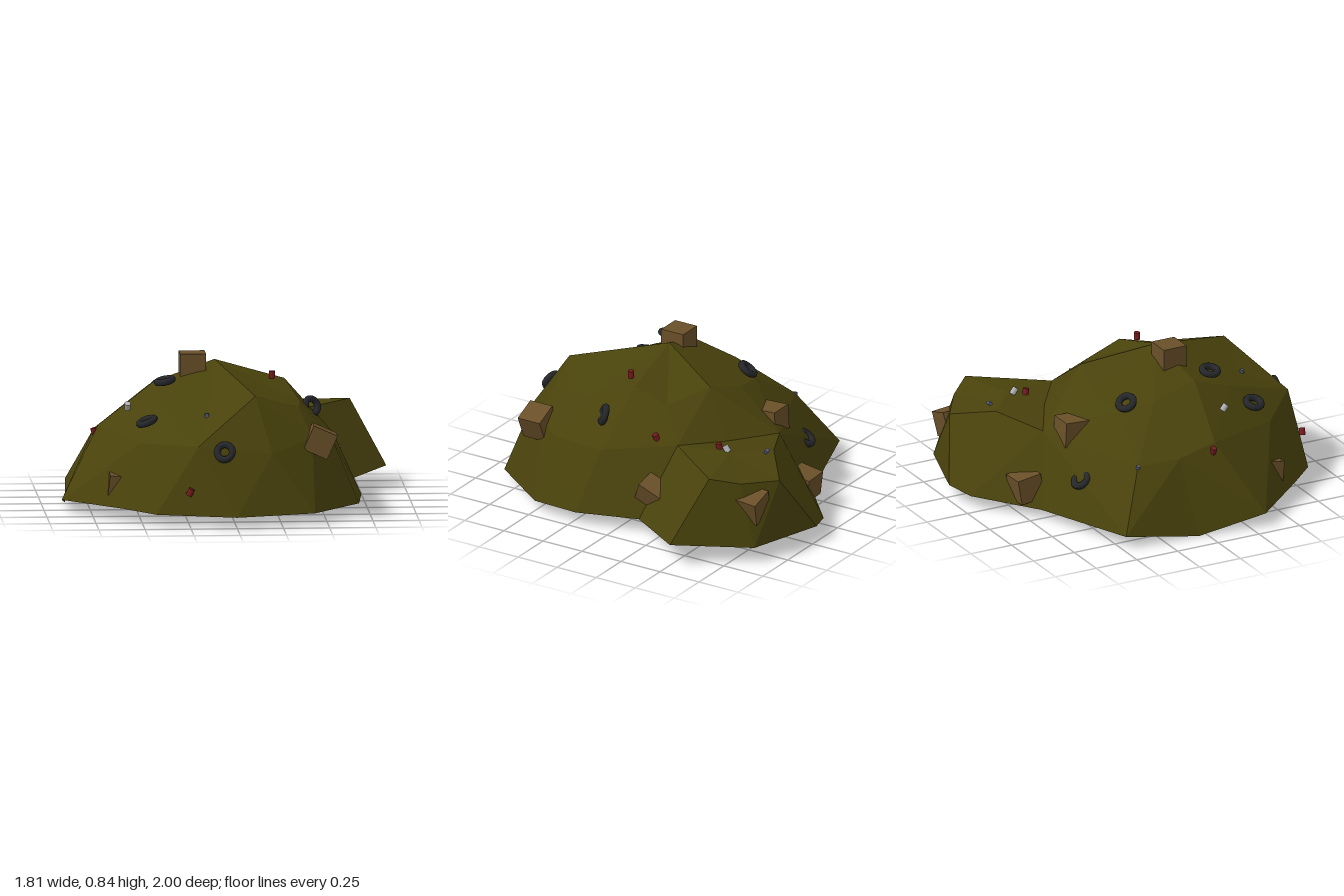
import * as THREE from 'three';

const mat = (color, extra = {}) => new THREE.MeshStandardMaterial({ color, ...extra });
const earth = mat(0x49420c, { flatShading: true, side: THREE.DoubleSide });
const card = mat(0x6a5029, { flatShading: true });
const rubber = mat(0x25272a);
const red = mat(0x7a1c1e), blue = mat(0x555c7c), silver = mat(0xb4b4b8);

// True when splitting the quad a-A-B-b along a-B makes an outward ridge
function ridge(a, A, B, b) {
  const [u, v, w] = [A, B, b].map(p => new THREE.Vector3(...p).sub(new THREE.Vector3(...a)));
  return u.cross(v).dot(w) <= 0;
}

// Faceted open shell: rings from rim to top, closed with an apex fan
function shell(name, rings, apex) {
  const pos = [];
  const n = rings[0].length;
  for (let r = 0; r < rings.length; r++) {
    for (let i = 0; i < n; i++) {
      const j = (i + 1) % n;
      const a = rings[r][i], b = rings[r][j];
      if (r === rings.length - 1) {
        pos.push(...a, ...apex, ...b);
      } else {
        const A = rings[r + 1][i], B = rings[r + 1][j];
        if (ridge(a, A, B, b)) pos.push(...a, ...A, ...B, ...a, ...B, ...b);
        else pos.push(...a, ...A, ...b, ...A, ...B, ...b);
      }
    }
  }
  const geo = new THREE.BufferGeometry();
  geo.setAttribute('position', new THREE.Float32BufferAttribute(pos, 3));
  geo.computeVertexNormals();
  const mesh = new THREE.Mesh(geo, earth);
  mesh.name = name;
  return mesh;
}

// Places a part with its local axis turned to a given direction
function place(group, name, geo, material, p, from, dir) {
  const mesh = new THREE.Mesh(geo, material);
  mesh.name = name;
  mesh.position.set(...p);
  mesh.quaternion.setFromUnitVectors(from, new THREE.Vector3(...dir).normalize());
  group.add(mesh);
}

export function createModel() {
  const group = new THREE.Group();
  group.name = 'junkHeap';

  // Main mound
  group.add(shell('mainMound', [
    [[.72, .07, .22], [.69, .06, .5], [.43, .06, .86], [0, .06, 1], [-.43, .06, .86], [-.6, .07, .69],
      [-.91, .07, .34], [-.87, 0, -.05], [-.84, .07, -.48], [-.25, .05, -.68], [.45, .07, -.45], [.63, .08, -.13]],
    [[.57, .4, .15], [.55, .4, .47], [.43, .44, .63], [.2, .38, .82], [-.2, .43, .86], [-.5, .41, .59],
      [-.7, .45, .14], [-.71, .4, -.08], [-.66, .38, -.31], [-.08, .43, -.58], [.2, .45, -.42], [.43, .47, -.25]],
    [[.31, .69, .1], [.38, .6, .34], [.36, .59, .5], [.12, .67, .64], [-.14, .56, .6], [-.38, .61, .4],
      [-.4, .69, .18], [-.42, .63, -.08], [-.34, .58, -.26], [-.13, .62, -.3], [.1, .69, -.25], [.3, .62, -.1]],
  ], [-.07, .8, .12]));

  // Lower mound behind, meeting the main one along its inner edge, with a floor
  const backRim = [[.63, .08, -.13], [.45, .07, -.45], [-.25, .05, -.68],
    [.06, .07, -.95], [.21, .09, -1], [.63, .09, -.87], [.9, .12, -.5]];
  group.add(shell('backMound', [
    backRim,
    [[.43, .47, -.25], [.2, .45, -.42], [-.08, .43, -.58],
      [.2, .47, -.72], [.41, .41, -.89], [.6, .43, -.76], [.71, .47, -.63]],
  ], [.38, .48, -.55]));
  group.add(shell('backMoundFloor', [backRim], [.45, .04, -.6]));

  // Half-buried tyres: position, axle direction
  const X = new THREE.Vector3(1, 0, 0), Y = new THREE.Vector3(0, 1, 0), Z = new THREE.Vector3(0, 0, 1);
  const tyreGeo = new THREE.TorusGeometry(.042, .019, 8, 18);
  [
    [[-.46, .52, .51], [-.35, .93, .1]],
    [[-.35, .71, .3], [-.2, .97, .05]],
    [[-.34, .62, -.21], [-.3, .75, -.5]],
    [[-.42, .26, -.53], [-.1, .75, -.6]],
    [[-.06, .4, .87], [-.25, .4, .9]],
    [[.45, .55, .21], [.55, .3, .75]],
  ].forEach(([p, d]) => place(group, 'tyre', tyreGeo, rubber, p, Z, d));

  // Crates sunk into the slopes: position, direction of the top
  const crateGeo = new THREE.BoxGeometry(.14, .14, .14);
  [
    [[-.19, .77, .135], [0, 1, 0]],
    [[-.18, .45, -.46], [0, 1, .05]],
    [[-.12, .15, -.71], [.05, 1, -.15]],
    [[.47, .42, .62], [.4, .9, 0]],
    [[-.6, .17, .51], [.1, 1, .15]],
    [[.54, .22, -.17], [.3, .85, -.4]],
    [[.55, .3, -.8], [.3, .95, -.1]],
  ].forEach(([p, d]) => place(group, 'crate', crateGeo, card, p, Y, d));

  // Tin cans: position, axis, colour
  const canGeo = new THREE.CylinderGeometry(.017, .017, .04, 10);
  const smallGeo = new THREE.CylinderGeometry(.011, .011, .03, 8);
  [
    [[.24, .72, .17], [0, 1, 0], red],
    [[.44, .49, -.12], [.3, .9, .2], red],
    [[.34, .48, -.46], [.1, .9, .2], red],
    [[-.72, .41, .12], [-.3, .9, 0], red],
    [[-.25, .19, .92], [.4, .9, .1], red],
    [[-.25, .14, -.61], [.4, .3, -.8], red],
    [[-.55, .57, .28], [0, .8, .6], silver],
    [[.36, .49, -.52], [0, .8, .6], silver],
  ].forEach(([p, d, m]) => place(group, 'can', canGeo, m, p, Y, d));
  [
    [[-.14, .56, .61], [1, .2, 0], blue],
    [[.27, .49, -.72], [.2, 1, 0], blue],
    [[-.66, .37, -.31], [1, .3, .3], blue],
  ].forEach(([p, d, m]) => place(group, 'smallCan', smallGeo, m, p, X, d));

  return group;
}
